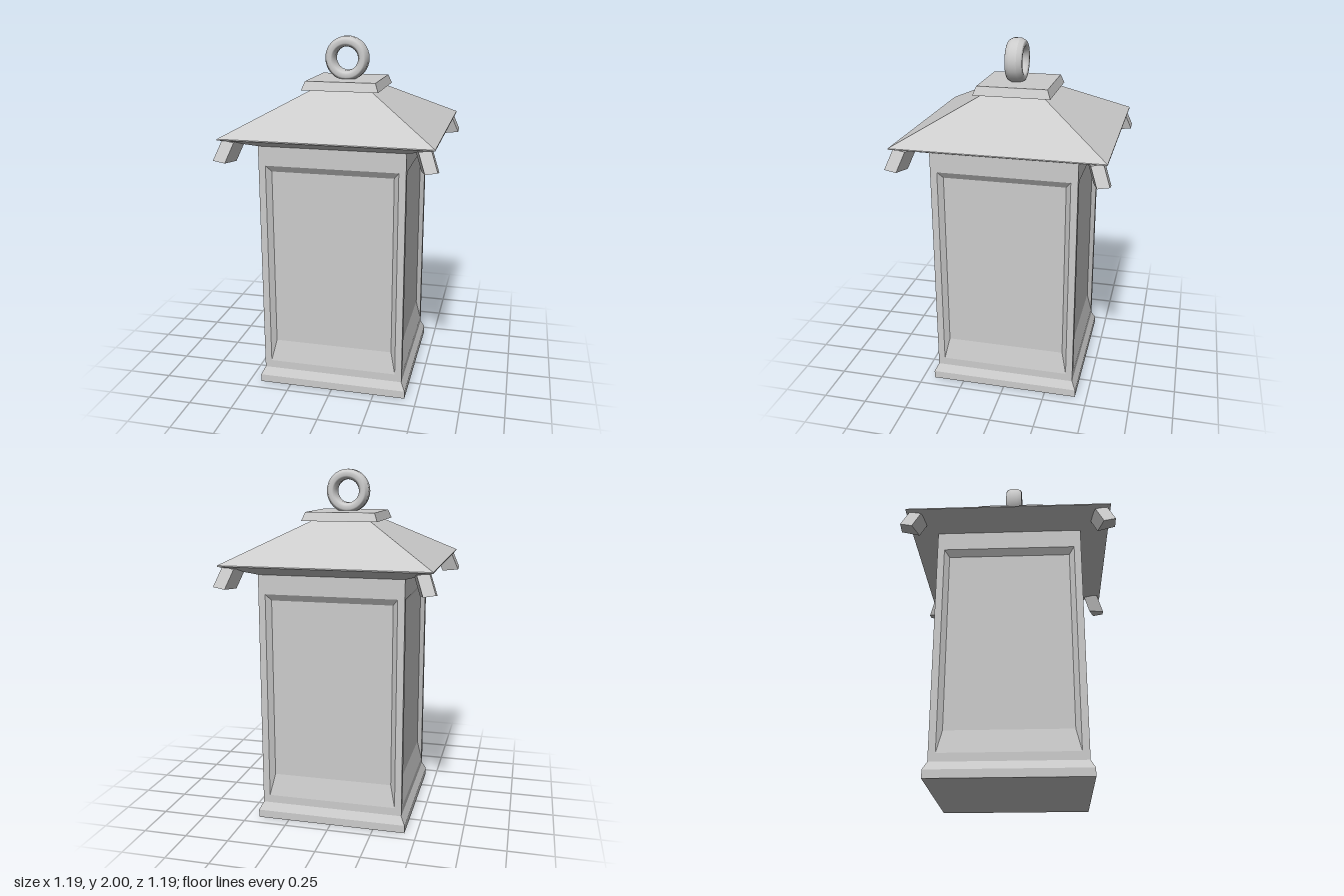
import * as THREE from 'three';

const flat = new THREE.MeshStandardMaterial({ color: 0xcccccc, flatShading: true });
const smooth = new THREE.MeshStandardMaterial({ color: 0xcccccc });

function mesh(name, geometry, material = flat) {
  const m = new THREE.Mesh(geometry, material);
  m.name = name;
  return m;
}

// Four-sided solid from [half width, height] pairs, listed bottom to top
function squareLoft(profile) {
  const points = profile.map(([h, y]) => new THREE.Vector2(h * Math.SQRT2, y));
  return new THREE.LatheGeometry(points, 4, Math.PI / 4);
}

// Nested rectangles [half width, bottom, top, z] joined into a recessed panel
function recessedWall(rects) {
  const loops = rects.map(([w, b, t, z]) => [[-w, b, z], [w, b, z], [w, t, z], [-w, t, z]]);
  const position = [];
  const quad = (a, b, c, d) => position.push(...a, ...b, ...c, ...a, ...c, ...d);
  for (let i = 0; i < loops.length - 1; i++) {
    for (let j = 0; j < 4; j++) {
      const k = (j + 1) % 4;
      quad(loops[i][j], loops[i][k], loops[i + 1][k], loops[i + 1][j]);
    }
  }
  quad(...loops[loops.length - 1]);
  const g = new THREE.BufferGeometry();
  g.setAttribute('position', new THREE.Float32BufferAttribute(position, 3));
  g.computeVertexNormals();
  return g;
}

// Slanted peg under a roof corner: a box whose corners are moved outward and down
function cornerPeg() {
  const g = new THREE.BoxGeometry(1, 1, 1);
  const p = g.attributes.position;
  for (let i = 0; i < p.count; i++) {
    const outX = p.getX(i) > 0, outZ = p.getZ(i) > 0, top = p.getY(i) > 0;
    const inner = !outX && !outZ;
    const shift = top ? -0.04 : 0;
    const near = inner ? 0.5 : 0.53;
    const y = (inner ? 1.367 : outX && outZ ? 1.385 : 1.373) + (top ? 0.105 : 0);
    p.setXYZ(i, (outX ? 0.595 : near) + shift, y, (outZ ? 0.595 : near) + shift);
  }
  g.computeVertexNormals();
  return g;
}

export function createModel() {
  const model = new THREE.Group();
  model.name = 'lantern';

  // Plinth with a bevelled upper edge
  model.add(mesh('base', squareLoft([[0, 0], [0.432, 0], [0.432, 0.045], [0.409, 0.09], [0, 0.09]])));

  // Four walls with sunken panes and a sloping sill
  const wall = recessedWall([
    [0.409, 0.09, 1.435, 0.409],
    [0.37, 0.135, 1.325, 0.409],
    [0.342, 0.26, 1.288, 0.384],
  ]);
  const peg = cornerPeg();
  for (let i = 0; i < 4; i++) {
    const side = mesh('wall', wall);
    const corner = mesh('cornerPeg', peg);
    side.rotation.y = corner.rotation.y = i * Math.PI / 2;
    model.add(side, corner);
  }

  // Hipped roof with a tapering underside
  model.add(mesh('roof', squareLoft([[0, 1.433], [0.409, 1.433], [0.576, 1.492], [0.576, 1.498], [0.168, 1.715], [0, 1.715]])));

  // Cap plate
  model.add(mesh('cap', squareLoft([[0, 1.715], [0.217, 1.715], [0.198, 1.764], [0, 1.764]])));

  // Hanging ring, wider along its axis than it is thick
  const section = [
    [0.124, -0.02], [0.124, 0.02], [0.112, 0.044], [0.104, 0.049], [0.086, 0.049],
    [0.078, 0.044], [0.066, 0.02], [0.066, -0.02], [0.078, -0.044], [0.086, -0.049],
    [0.104, -0.049], [0.112, -0.044], [0.124, -0.02],
  ].map(([r, y]) => new THREE.Vector2(r, y));
  const ring = mesh('ring', new THREE.LatheGeometry(section, 32), smooth);
  ring.rotation.x = Math.PI / 2;
  ring.position.set(0, 1.876, 0.014);
  model.add(ring);

  return model;
}
